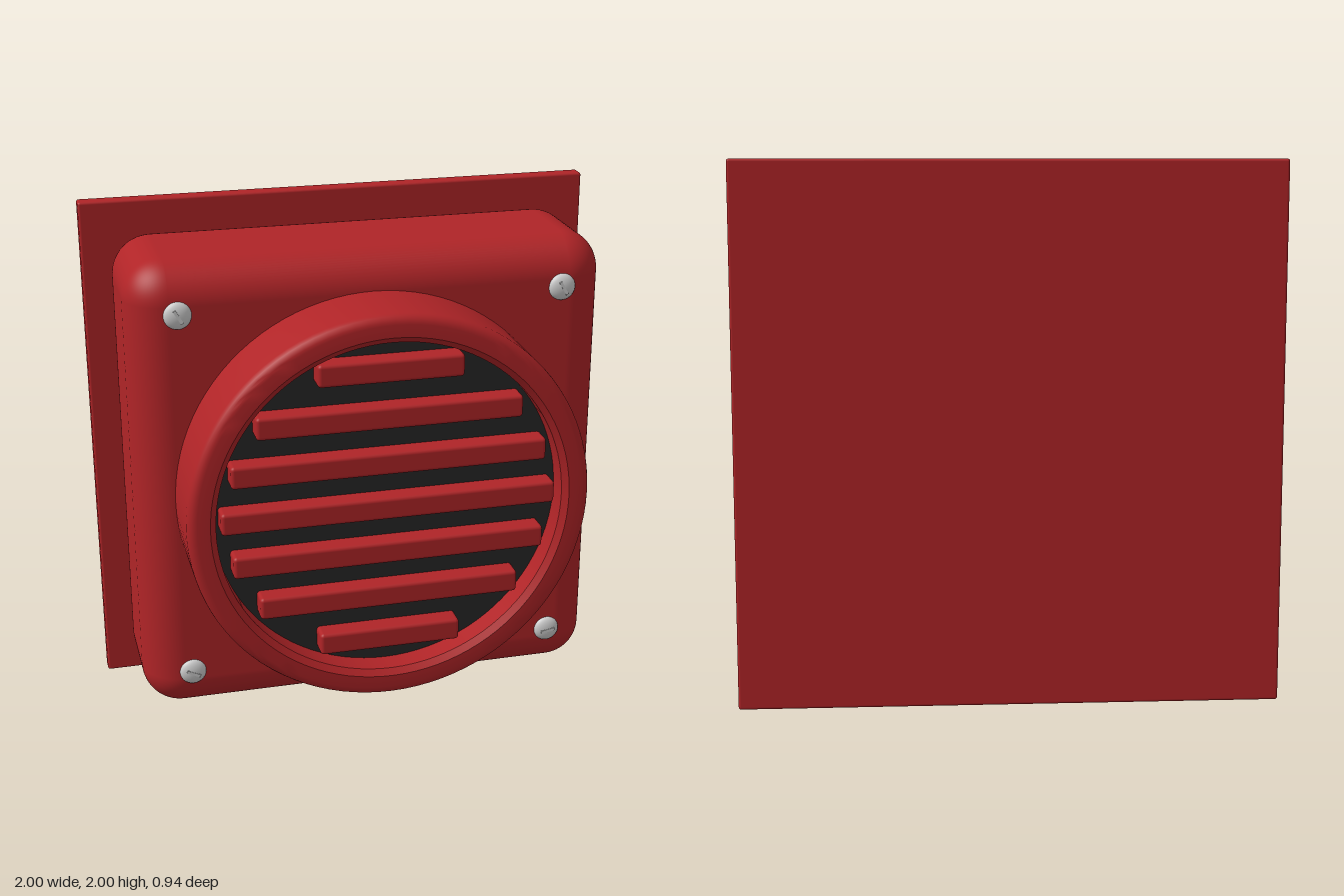
import * as THREE from 'three';
import { toCreasedNormals } from 'three/addons/utils/BufferGeometryUtils.js';
import { RoundedBoxGeometry } from 'three/addons/geometries/RoundedBoxGeometry.js';

const CENTRE_Y = 1;

function material(name, color) {
  const m = new THREE.MeshStandardMaterial({ color });
  m.name = name;
  return m;
}

export function createModel() {
  const red = material('red paint', 0xb02427);
  const dark = material('dark mesh', 0x262626);
  const steel = material('steel', 0xcfcfcf);

  const model = new THREE.Group();
  model.name = 'ventCover';

  function add(name, geometry, mat, x, y, z, parent = model) {
    const mesh = new THREE.Mesh(geometry, mat);
    mesh.name = name;
    mesh.position.set(x, y, z);
    parent.add(mesh);
    return mesh;
  }

  // Square wall plate and the softly rounded housing in front of it
  add('wallPlate', new RoundedBoxGeometry(2, 2, 0.063, 3, 0.01), red, 0, CENTRE_Y, -0.4365);
  add('housing', new RoundedBoxGeometry(1.8, 1.8, 0.58, 8, 0.15), red, 0, CENTRE_Y, -0.115);

  // Round collar: rounded outer rim, flat face, small inner chamfer
  const profile = [new THREE.Vector2(0.757, 0.1)];
  const bevel = 0.035;
  for (let i = 0; i <= 5; i++) {
    const a = (i / 5) * Math.PI / 2;
    profile.push(new THREE.Vector2(0.757 - bevel + bevel * Math.cos(a), 0.468 - bevel + bevel * Math.sin(a)));
  }
  profile.push(
    new THREE.Vector2(0.675, 0.468),
    new THREE.Vector2(0.652, 0.448),
    new THREE.Vector2(0.652, 0.1)
  );
  const collar = toCreasedNormals(new THREE.LatheGeometry(profile, 96).rotateX(Math.PI / 2), 0.5);
  add('collar', collar, red, 0, CENTRE_Y, 0);

  // Dark backing inside the collar
  add('backing', new THREE.CylinderGeometry(0.655, 0.655, 0.16, 96).rotateX(Math.PI / 2), dark, 0, CENTRE_Y, 0.28);

  // Horizontal slats, shortened towards the top and bottom
  const halfLengths = [0.63, 0.59, 0.495, 0.27];
  for (let i = -3; i <= 3; i++) {
    const length = 2 * halfLengths[Math.abs(i)];
    add('slat', new RoundedBoxGeometry(length, 0.086, 0.09, 3, 0.014), red, 0, CENTRE_Y + 0.005 + i * 0.178, 0.39);
  }

  // Domed corner screws with slots turned at different angles
  const dome = new THREE.SphereGeometry(0.051, 28, 18).scale(1, 1, 0.5);
  const slot = new THREE.BoxGeometry(0.056, 0.011, 0.006);
  const screws = [[-1, 1, -1.05], [1, 1, -1.05], [-1, -1, -0.45], [1, -1, 0.17]];
  for (const [sx, sy, angle] of screws) {
    const screw = new THREE.Group();
    screw.name = 'screw';
    screw.position.set(sx * 0.72, CENTRE_Y + sy * 0.72, 0.174);
    screw.rotation.z = angle;
    add('screwHead', dome, steel, 0, 0, 0, screw);
    add('screwSlot', slot, steel, 0, 0, 0.0235, screw);
    model.add(screw);
  }

  return model;
}
